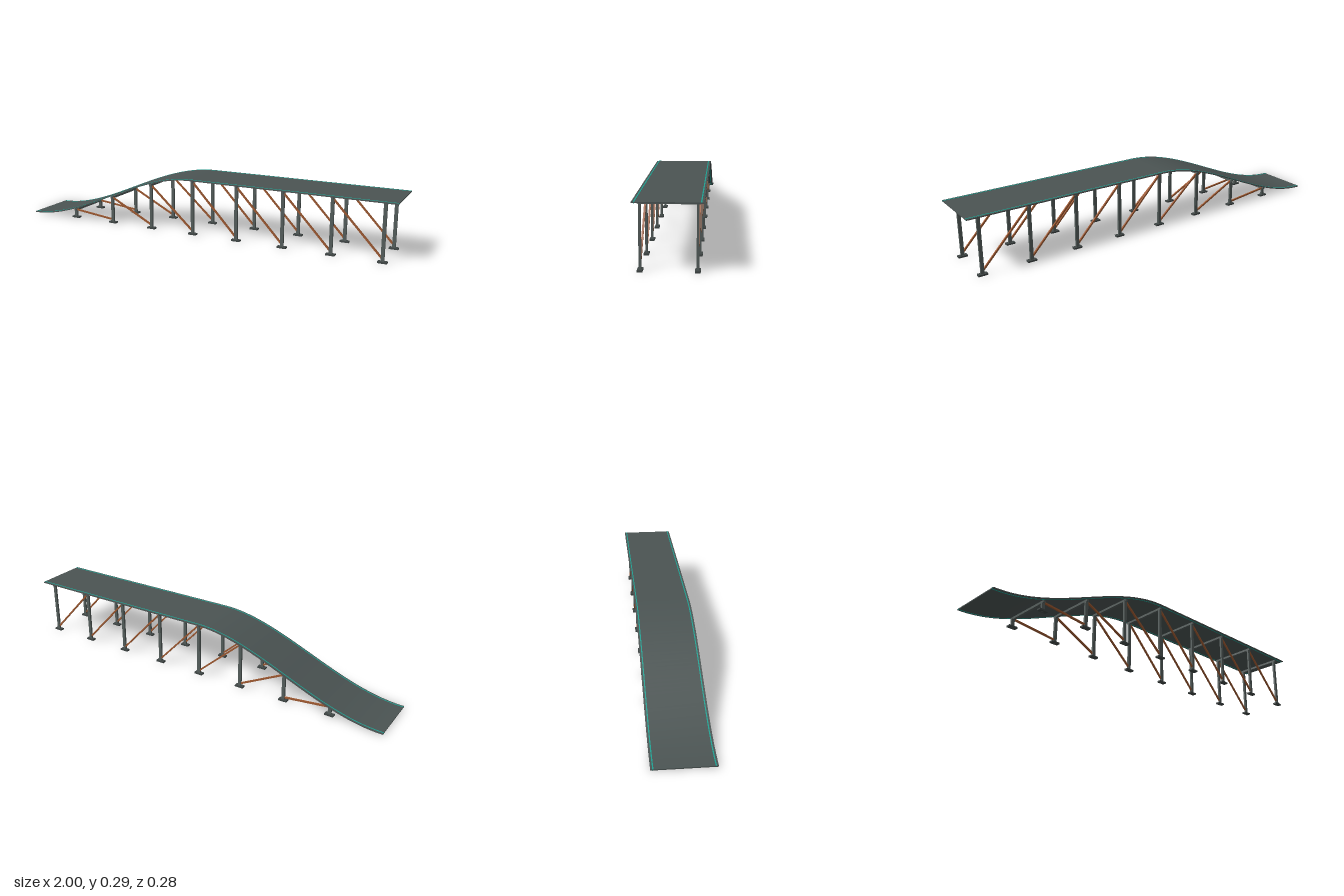
import * as THREE from 'three';

const mat = (name, color) => {
  const m = new THREE.MeshStandardMaterial({ color });
  m.name = name;
  return m;
};

// Height of the deck surface: an S-curve ramp that runs into a level platform
const deckTop = (x) => {
  const s = THREE.MathUtils.clamp((x + 1) / 0.98, 0, 1);
  return 0.008 + 0.277 * s * s * (3 - 2 * s);
};

// Strip following the deck curve, between two height offsets
function ribbon(above, below, width) {
  const xs = [];
  for (let i = 0; i <= 48; i++) xs.push(-1 + (0.98 * i) / 48);
  xs.push(1);
  const pts = xs.map((x) => new THREE.Vector2(x, deckTop(x) + below));
  xs.reverse().forEach((x) => pts.push(new THREE.Vector2(x, deckTop(x) + above)));
  const geo = new THREE.ExtrudeGeometry(new THREE.Shape(pts), { depth: width, bevelEnabled: false });
  return geo.translate(0, 0, -width / 2);
}

export function createModel() {
  const model = new THREE.Group();
  const deckMat = mat('deck grey', 0x4b5453);
  const steelMat = mat('steel grey', 0x535c5a);
  const footMat = mat('dark foot grey', 0x3f4645);
  const tealMat = mat('teal trim', 0x1fa091);
  const braceMat = mat('rust brown', 0x9c5830);

  const add = (name, geo, material, x = 0, y = 0, z = 0) => {
    const mesh = new THREE.Mesh(geo, material);
    mesh.name = name;
    mesh.position.set(x, y, z);
    model.add(mesh);
    return mesh;
  };

  // Deck and its edge trims
  add('deck', ribbon(0, -0.005, 0.275), deckMat);
  for (const side of [-1, 1]) {
    add('edgeTrim', ribbon(0.001, -0.006, 0.005), tealMat, 0, 0, side * 0.127);
  }

  // Trestles: paired posts on feet, joined by a cross beam
  const postX = Array.from({ length: 8 }, (_, i) => -0.735 + i * 0.2393);
  postX.forEach((x, i) => {
    const beamY = deckTop(x) - 0.013;
    add('crossBeam', new THREE.BoxGeometry(0.012, 0.011, 0.246), steelMat, x, beamY, 0);
    for (const side of [-1, 1]) {
      const z = side * 0.1125;
      add('post', new THREE.BoxGeometry(0.016, beamY, 0.01), steelMat, x, beamY / 2, z);
      add('foot', new THREE.BoxGeometry(0.044, 0.008, 0.022), footMat, x, 0.004, z);

      // Diagonal brace down to the next post
      if (i < postX.length - 1) {
        const from = new THREE.Vector2(x, beamY);
        const to = new THREE.Vector2(postX[i + 1], 0.018);
        const d = to.clone().sub(from);
        const brace = add('brace', new THREE.BoxGeometry(d.length(), 0.008, 0.008), braceMat,
          (from.x + to.x) / 2, (from.y + to.y) / 2, z);
        brace.rotation.z = d.angle();
      }
    }
  });

  return model;
}
